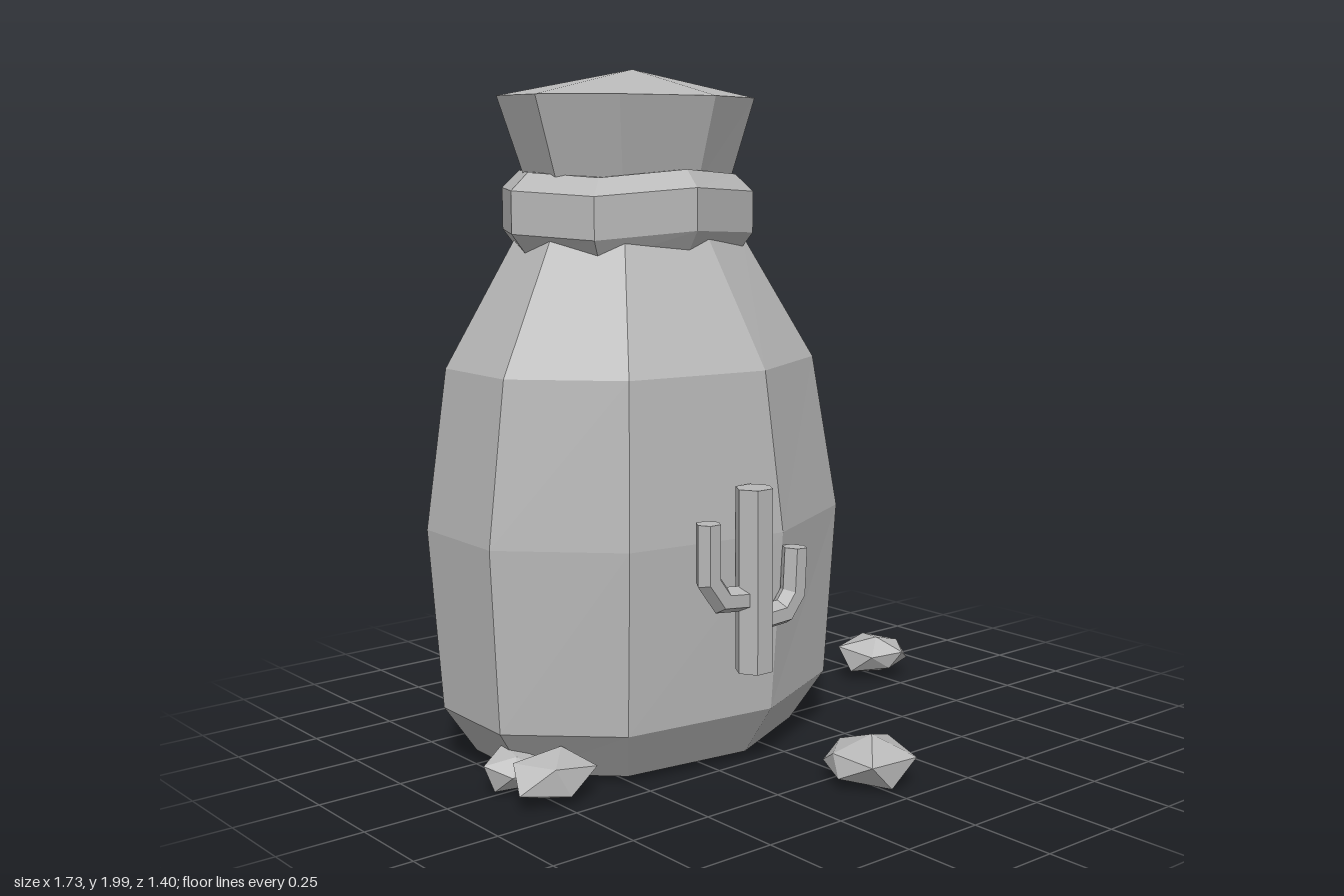
import * as THREE from 'three';

const stone = new THREE.MeshStandardMaterial({ color: 0xb8b8b8, flatShading: true });
stone.name = 'plain grey';

// Closed skin over rings of equal length; each ring runs anticlockwise about the direction of travel.
function loft(name, rings) {
  const n = rings[0].length, pos = [];
  const tri = (a, b, c) => pos.push(...a, ...b, ...c);
  const mid = ring => [0, 1, 2].map(k => ring.reduce((s, p) => s + p[k], 0) / n);
  const first = rings[0], last = rings[rings.length - 1];
  const start = mid(first), end = mid(last);
  for (let j = 0; j < n; j++) {
    const k = (j + 1) % n;
    for (let i = 0; i + 1 < rings.length; i++) {
      const [a, b] = [rings[i], rings[i + 1]];
      tri(a[j], a[k], b[k]);
      tri(a[j], b[k], b[j]);
    }
    tri(start, first[k], first[j]);
    tri(end, last[j], last[k]);
  }
  const geo = new THREE.BufferGeometry();
  geo.setAttribute('position', new THREE.Float32BufferAttribute(pos, 3));
  geo.computeVertexNormals();
  const mesh = new THREE.Mesh(geo, stone);
  mesh.name = name;
  return mesh;
}

// Six-sided bar along a path in the xy plane, with mitred corners.
function bar(name, path, r, z) {
  const dir = (a, b) => new THREE.Vector2(b[0] - a[0], b[1] - a[1]).normalize();
  return loft(name, path.map((p, i) => {
    const before = dir(path[Math.max(i - 1, 0)], path[Math.max(i, 1)]);
    const after = i + 1 < path.length ? dir(p, path[i + 1]) : before;
    const t = before.clone().add(after).normalize();
    const wide = r / t.dot(after);
    return Array.from({ length: 6 }, (_, k) => {
      const a = k * Math.PI / 3, u = Math.cos(a) * wide;
      return [p[0] + t.y * u, p[1] - t.x * u, z - Math.sin(a) * r];
    });
  }));
}

// Irregular pebble fitted to a box of the given centre and size.
function rock(name, center, size, seed) {
  const geo = new THREE.IcosahedronGeometry(1, 0);
  const p = geo.attributes.position, v = new THREE.Vector3();
  for (let i = 0; i < p.count; i++) {
    v.fromBufferAttribute(p, i);
    v.multiplyScalar(1 + 0.2 * Math.sin(seed * 3 + v.x * 5 + v.y * 9 + v.z * 7));
    p.setXYZ(i, v.x, v.y, v.z);
  }
  geo.rotateY(seed);
  geo.rotateX(seed * 0.4);
  geo.center();
  geo.boundingBox.getSize(v);
  geo.scale(size[0] / v.x, size[1] / v.y, size[2] / v.z);
  geo.translate(...center);
  geo.computeVertexNormals();
  const mesh = new THREE.Mesh(geo, stone);
  mesh.name = name;
  return mesh;
}

export function createModel() {
  const model = new THREE.Group();
  model.name = 'clothSack';

  // Sack: one nine-sided outline, scaled at each height
  const outline = [[0.475, -0.2], [0.29, -0.52], [-0.09, -0.7], [-0.55, -0.61], [-0.84, -0.34],
    [-0.85, 0], [-0.58, 0.27], [-0.09, 0.34], [0.3, 0.15]];
  const levels = [ // y, centre x, centre z, scale x, scale z
    [0.03, -0.2, -0.18, 0.79, 0.76],
    [0.18, -0.2, -0.16, 0.95, 0.905],
    [0.7, -0.188, -0.18, 1, 1],
    [1.16, -0.21, -0.172, 0.875, 0.91],
    [1.52, -0.22, -0.175, 0.55, 0.54],
    [1.68, -0.22, -0.178, 0.495, 0.47],
    [1.92, -0.22, -0.178, 0.62, 0.59],
    [2, -0.22, -0.175, 0.001, 0.001],
  ];
  model.add(loft('sack', levels.map(([y, cx, cz, sx, sz]) =>
    outline.map(([x, z]) => [cx + (x + 0.188) * sx, y, cz + (z + 0.18) * sz]))));

  // Tie band around the neck, slightly uneven
  const band = [[1.475, 0.88], [1.535, 1], [1.655, 1], [1.705, 0.86]];
  model.add(loft('neckBand', band.map(([y, s]) => Array.from({ length: 8 }, (_, k) => {
    const a = k * Math.PI / 4;
    return [-0.24 + 0.405 * s * Math.cos(a), y + 0.012 * Math.sin(k * 2.3),
      -0.175 - 0.32 * s * Math.sin(a)];
  }))));

  // Cactus emblem
  const cactus = new THREE.Group();
  cactus.name = 'cactus';
  cactus.add(
    bar('cactusStem', [[-0.223, 0.33], [-0.223, 0.85]], 0.055, 0.368),
    bar('cactusRightArm', [[-0.25, 0.54], [-0.34, 0.55], [-0.385, 0.61], [-0.385, 0.77]], 0.036, 0.365),
    bar('cactusLeftArm', [[-0.2, 0.475], [-0.115, 0.48], [-0.075, 0.53], [-0.068, 0.66]], 0.037, 0.365));
  model.add(cactus);

  // Pebbles scattered around the base
  [
    [[-0.75, 0.08, 0.12], [0.24, 0.13, 0.18], 1],
    [[-0.78, 0.07, -0.01], [0.18, 0.12, 0.16], 2.2],
    [[0.02, 0.085, 0.585], [0.24, 0.135, 0.23], 3.1],
    [[0.745, 0.085, -0.125], [0.23, 0.14, 0.23], 4.4],
    [[-0.2, 0.08, -0.6], [0.23, 0.14, 0.19], 5.3],
  ].forEach(([c, s, seed], i) => model.add(rock('pebble' + (i + 1), c, s, seed)));

  return model;
}
